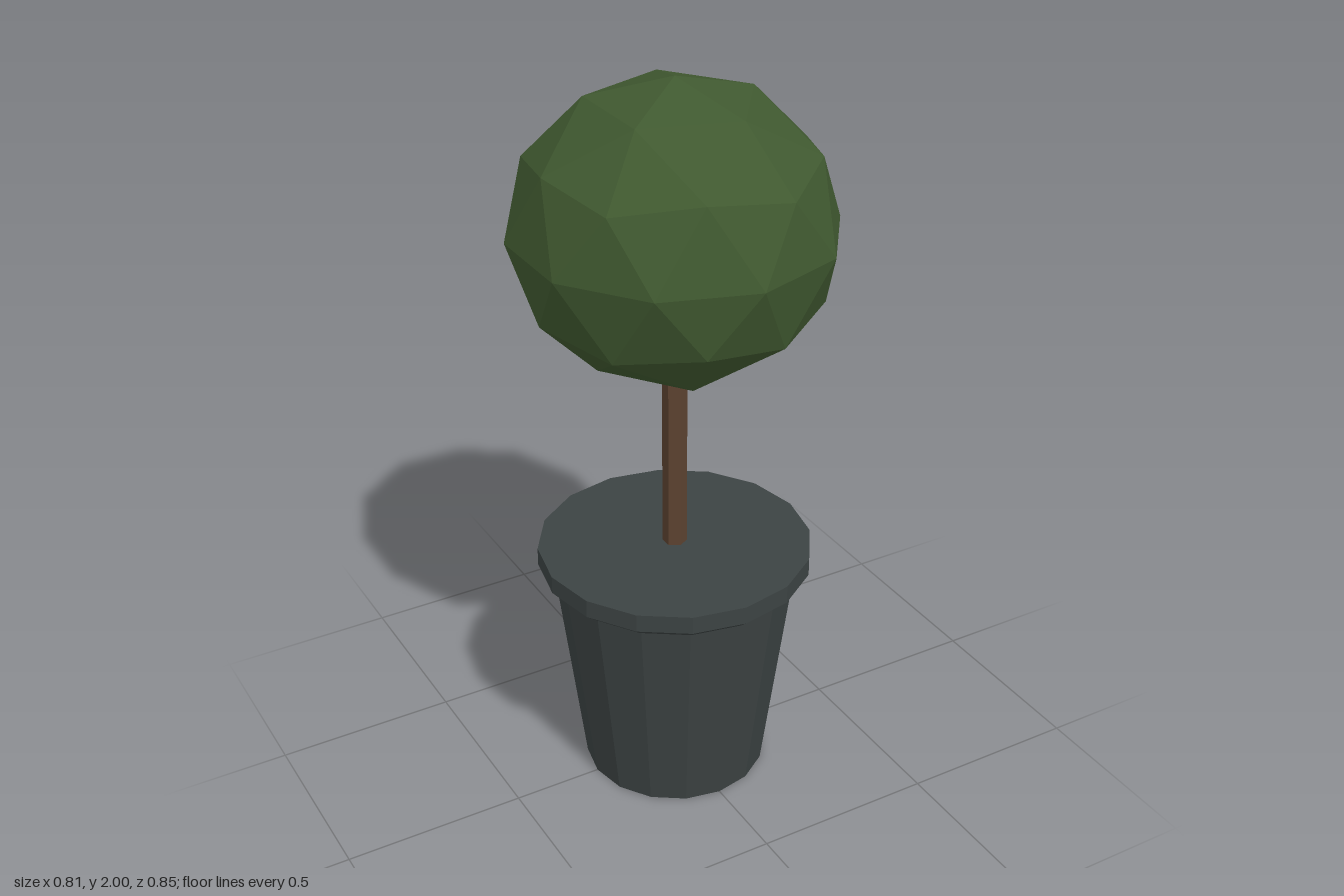
import * as THREE from 'three';

function material(name, color) {
  const m = new THREE.MeshStandardMaterial({ color, flatShading: true });
  m.name = name;
  return m;
}

export function createModel() {
  const group = new THREE.Group();
  group.name = 'pottedTopiary';

  const add = (name, geometry, mat, y = 0) => {
    const mesh = new THREE.Mesh(geometry, mat);
    mesh.name = name;
    mesh.position.y = y;
    group.add(mesh);
  };

  // Tapered sixteen-sided pot with a chamfered rim and a flat closed top
  const profile = [
    [0, 0], [0.252, 0], [0.33, 0.62], [0.345, 0.622], [0.372, 0.645], [0.372, 0.695], [0, 0.695],
  ].map(([r, y]) => new THREE.Vector2(r, y));
  add('pot', new THREE.LatheGeometry(profile, 16), material('slate grey', 0x3c4343));

  // Slim six-sided trunk, running up into the foliage
  const trunk = new THREE.CylinderGeometry(0.033, 0.033, 0.65, 6);
  add('trunk', trunk, material('bark brown', 0x5c4230), 0.69 + 0.325);

  // Faceted ball, turned so that a corner points straight up, slightly flattened
  const ball = new THREE.IcosahedronGeometry(1, 1);
  ball.rotateZ(-Math.atan(2 / (1 + Math.sqrt(5))));
  ball.scale(0.425, 0.395, 0.425);
  add('foliage', ball, material('leaf green', 0x405930), 1.605);

  return group;
}
